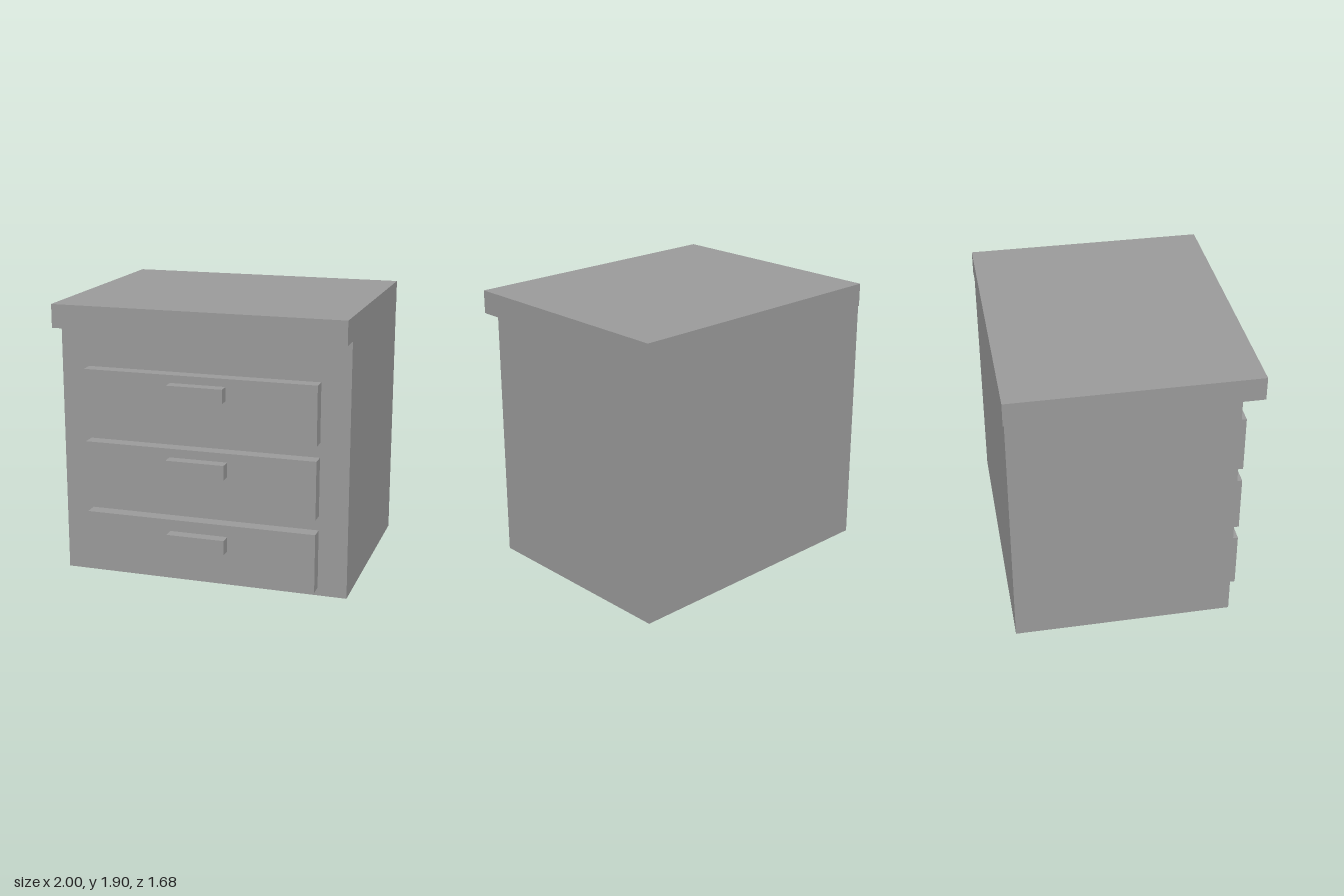
import * as THREE from 'three';

export function createModel() {
  const group = new THREE.Group();
  group.name = 'drawerCabinet';
  const grey = new THREE.MeshStandardMaterial({ color: 0x999999 });
  grey.name = 'grey';

  // Box given by its min and max on each axis
  function addBox(name, [x0, x1], [y0, y1], [z0, z1]) {
    const mesh = new THREE.Mesh(new THREE.BoxGeometry(x1 - x0, y1 - y0, z1 - z0), grey);
    mesh.position.set((x0 + x1) / 2, (y0 + y1) / 2, (z0 + z1) / 2);
    mesh.name = name;
    group.add(mesh);
  }

  // Carcass and the top slab overhanging the front
  addBox('body', [-1, 1], [0, 1.74], [-0.833, 0.665]);
  addBox('top', [-1, 1], [1.74, 1.9], [-0.84, 0.815]);

  // Drawers from bottom to top, each with a bar handle
  const drawers = [
    { name: 'bottom', y: [0.055, 0.46], handleX: [-0.203, 0.2], handleY: [0.28, 0.38] },
    { name: 'middle', y: [0.56, 0.96], handleX: [-0.203, 0.2], handleY: [0.8, 0.9] },
    { name: 'upper', y: [1.06, 1.463], handleX: [-0.193, 0.19], handleY: [1.315, 1.41] },
  ];
  for (const d of drawers) {
    addBox(d.name + 'Drawer', [-0.805, 0.802], d.y, [0.665, 0.76]);
    addBox(d.name + 'Handle', d.handleX, d.handleY, [0.76, 0.84]);
  }
  return group;
}
